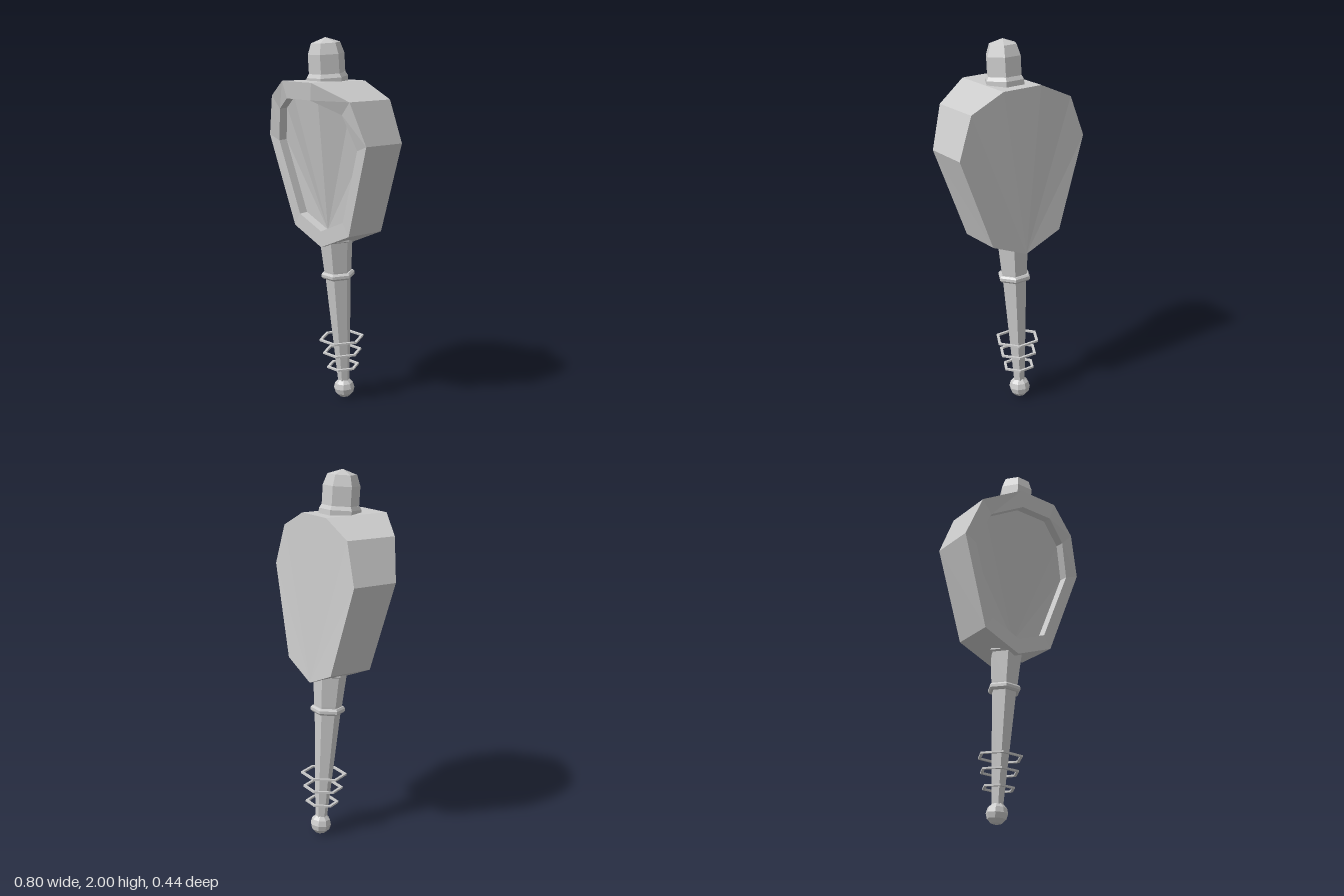
import * as THREE from 'three';

const material = new THREE.MeshStandardMaterial({ color: 0xcccccc, flatShading: true });

function part(name, geometry) {
  const mesh = new THREE.Mesh(geometry, material);
  mesh.name = name;
  return mesh;
}

// Six-sided turned part with corners on the x axis; profile of [radius, y] from bottom to top
function hexTurned(name, profile) {
  const points = profile.map(([r, y]) => new THREE.Vector2(r, y));
  return part(name, new THREE.LatheGeometry(points, 6, Math.PI / 2));
}

// Mirror a half outline (bottom point first) into a closed counter-clockwise ring
function mirrorRing(half) {
  const left = half.slice(1).reverse().map(([x, y, z]) => [-x, y, z]);
  return [...half, ...left];
}

// Shield-shaped body: back, front rim and recessed panel joined ring to ring
function bodyGeometry() {
  const back = mirrorRing([[0, 0.88, -0.124], [0.215, 0.97, -0.134], [0.39, 1.46, -0.143],
    [0.31, 1.68, -0.148], [0.117, 1.768, -0.156]]);
  const front = mirrorRing([[0, 0.898, 0.11], [0.22, 0.988, 0.103], [0.39, 1.478, 0.105],
    [0.313, 1.70, 0.133], [0.117, 1.796, 0.211]]);
  const rim = mirrorRing([[0, 0.985, 0.105], [0.175, 1.057, 0.10], [0.315, 1.45, 0.10],
    [0.25, 1.632, 0.133], [0.095, 1.705, 0.204]]);
  const panel = rim.map(([x, y, z]) => [x, y, z - 0.05]);

  const rings = [back, front, rim, panel];
  const n = back.length;
  const positions = rings.flat(2);
  const index = [];
  for (let r = 0; r < rings.length - 1; r++) {
    for (let i = 0; i < n; i++) {
      const a = r * n + i, b = r * n + (i + 1) % n;
      index.push(a, b, b + n, a, b + n, a + n);
    }
  }
  // Back and panel faces fan out from the bottom point
  const p = 3 * n;
  for (let i = 1; i < n - 1; i++) {
    index.push(0, i + 1, i);
    index.push(p, p + i, p + i + 1);
  }
  const geometry = new THREE.BufferGeometry();
  geometry.setAttribute('position', new THREE.Float32BufferAttribute(positions, 3));
  geometry.setIndex(index);
  geometry.computeVertexNormals();
  return geometry;
}

export function createModel() {
  const model = new THREE.Group();
  model.name = 'model';

  // Everything leans slightly forward and turns slightly aside
  const leaning = new THREE.Group();
  leaning.name = 'leaningAssembly';
  leaning.rotation.set(0.077, -0.075, 0);
  leaning.position.z = -0.13;
  model.add(leaning);

  leaning.add(part('body', bodyGeometry()));

  // Cap on top with its collar
  leaning.add(hexTurned('capCollar', [[0, 1.74], [0.11, 1.765], [0.11, 1.80], [0.098, 1.82], [0, 1.82]]));
  leaning.add(hexTurned('cap', [[0.097, 1.80], [0.097, 1.92], [0.077, 1.977], [0, 2.004]]));

  // Tapered handle, its flared mount and the raised band
  leaning.add(hexTurned('handle', [[0, 0.08], [0.032, 0.09], [0.07, 0.70], [0.076, 0.75], [0.09, 0.915],
    [0.103, 0.922], [0.103, 0.94], [0, 0.94]]));
  leaning.add(hexTurned('handleBand', [[0.065, 0.705], [0.084, 0.705], [0.093, 0.715], [0.093, 0.73],
    [0.084, 0.74], [0.065, 0.74]]));

  // Thin floating rings around the lower handle
  for (const [r, y] of [[0.126, 0.352], [0.109, 0.274], [0.091, 0.188]]) {
    const inner = r - 0.016, low = y - 0.005, high = y + 0.005;
    leaning.add(hexTurned('wireRing', [[inner, low], [r, low], [r, high], [inner, high], [inner, low]]));
  }

  // Ball at the end
  const ball = part('endBall', new THREE.SphereGeometry(0.058, 8, 6));
  ball.position.y = 0.058;
  leaning.add(ball);

  return model;
}
